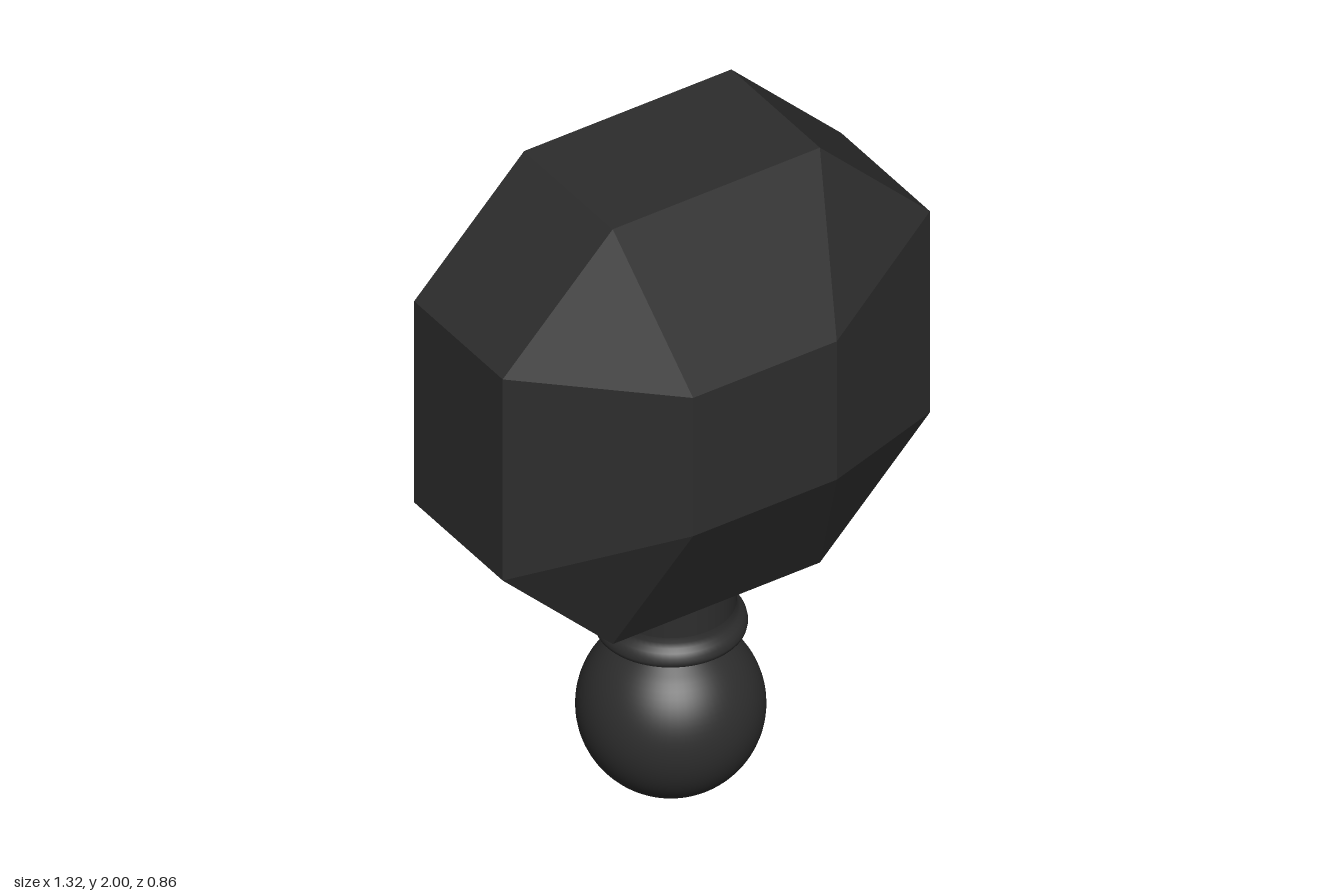
import * as THREE from 'three';
import { ConvexGeometry } from 'three/addons/geometries/ConvexGeometry.js';

export function createModel() {
  const model = new THREE.Group();
  model.name = 'facetedKnob';
  const black = new THREE.MeshStandardMaterial({ color: 0x2d2d2d });
  black.name = 'charcoalBlack';

  const add = (name, geometry, parent) => {
    const mesh = new THREE.Mesh(geometry, black);
    mesh.name = name;
    parent.add(mesh);
    return mesh;
  };

  // Faceted head: an octagonal band with a smaller square face front and back
  const points = [];
  for (const sx of [-1, 1]) for (const sy of [-1, 1]) for (const sz of [-1, 1]) {
    points.push(
      new THREE.Vector3(sx * 0.32, sy * 0.66, sz * 0.205),
      new THREE.Vector3(sx * 0.66, sy * 0.32, sz * 0.205),
      new THREE.Vector3(sx * 0.222, sy * 0.22, sz * 0.43)
    );
  }
  const head = add('facetedHead', new ConvexGeometry(points), model);
  head.position.y = 1.34;
  head.rotation.y = 0.011;

  // Turned stem, slightly off the head's centre; separate profiles keep edges sharp
  const stem = new THREE.Group();
  stem.name = 'stem';
  stem.position.set(-0.011, 0, 0.011);
  model.add(stem);
  const turn = (name, profile) => add(name,
    new THREE.LatheGeometry(profile.map(([r, y]) => new THREE.Vector2(r, y)), 64), stem);

  // Ball blending into the narrow neck
  const ball = [];
  const R = 0.246, cy = 0.25, end = 2.55;
  for (let i = 0; i <= 32; i++) {
    const a = (i / 32) * end;
    ball.push([R * Math.sin(a), cy - R * Math.cos(a)]);
  }
  ball.push([0.115, 0.472], [0.104, 0.485], [0.1, 0.51]);
  turn('ballAndNeck', ball);

  // Flat underside, rounded bead and straight collar
  turn('collarUnderside', [[0, 0.502], [0.19, 0.502]]);
  turn('collarBead', [
    [0.19, 0.502], [0.197, 0.506], [0.199, 0.516], [0.196, 0.53],
    [0.188, 0.542], [0.178, 0.552], [0.172, 0.565], [0.17, 0.58]
  ]);
  turn('collar', [[0.17, 0.58], [0.17, 0.7]]);

  return model;
}
